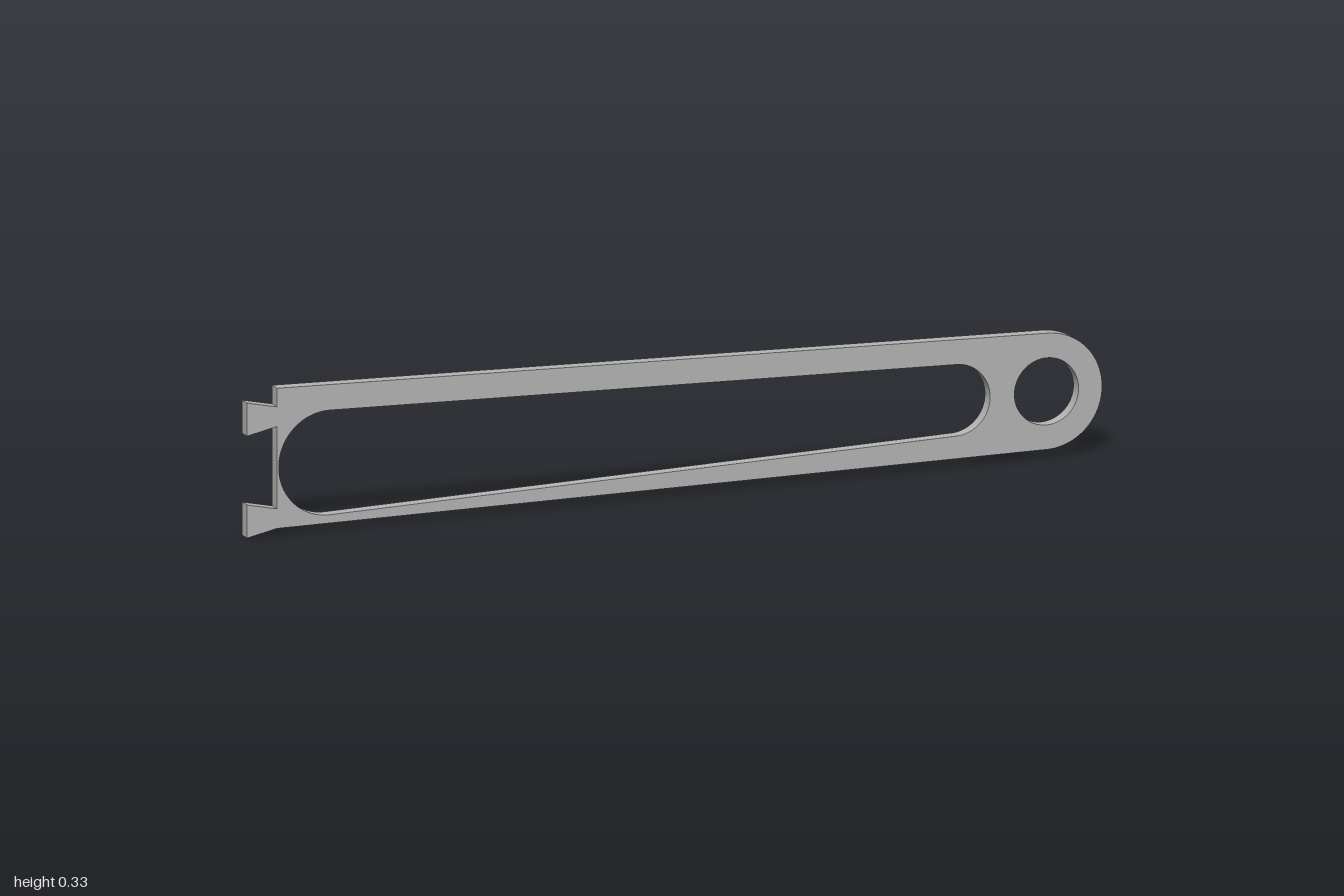
import * as THREE from 'three';
import { toCreasedNormals } from 'three/addons/utils/BufferGeometryUtils.js';

const MID = 0.1775;      // height of the long axis
const THICK = 0.03;

// Outline of two circles joined by their outer tangents
function taperedSlot(x1, r1, x2, r2) {
  const a = Math.acos((r1 - r2) / (x2 - x1));
  const path = new THREE.Path();
  path.absarc(x2, MID, r2, -a, a, false);
  path.absarc(x1, MID, r1, a, Math.PI * 2 - a, false);
  path.closePath();
  return path;
}

export function createModel() {
  const group = new THREE.Group();
  group.name = 'slottedArm';
  const grey = new THREE.MeshStandardMaterial({ color: 0xb6b6b6 });
  grey.name = 'plain grey';

  // Outer outline: dovetail tabs on the flat end, rounded far end
  const outline = new THREE.Shape();
  const eye = 0.87, eyeR = 0.13, back = -0.93;
  const a = Math.PI / 2 - 0.0265;
  outline.moveTo(back, 0);
  outline.absarc(eye, MID, eyeR, -a, a, false);
  outline.lineTo(back, 2 * MID);
  const tab = [[back, 0.136], [-1, 0.151], [-1, 0.077], [back, 0.092]];
  for (const [x, d] of tab) outline.lineTo(x, MID + d);
  for (const [x, d] of tab.slice().reverse()) outline.lineTo(x, MID - d);
  outline.closePath();

  // Long tapered window and round eye hole
  const eyeHole = new THREE.Path();
  eyeHole.absarc(eye, MID, 0.075, 0, Math.PI * 2, true);
  outline.holes.push(taperedSlot(-0.809, 0.117, 0.658, 0.08), eyeHole);

  const plate = new THREE.ExtrudeGeometry(outline, { depth: THICK, bevelEnabled: false, curveSegments: 40 });
  plate.translate(0, 0, -THICK / 2);
  const arm = new THREE.Mesh(toCreasedNormals(plate, 0.5), grey);
  arm.name = 'armPlate';
  group.add(arm);
  return group;
}
